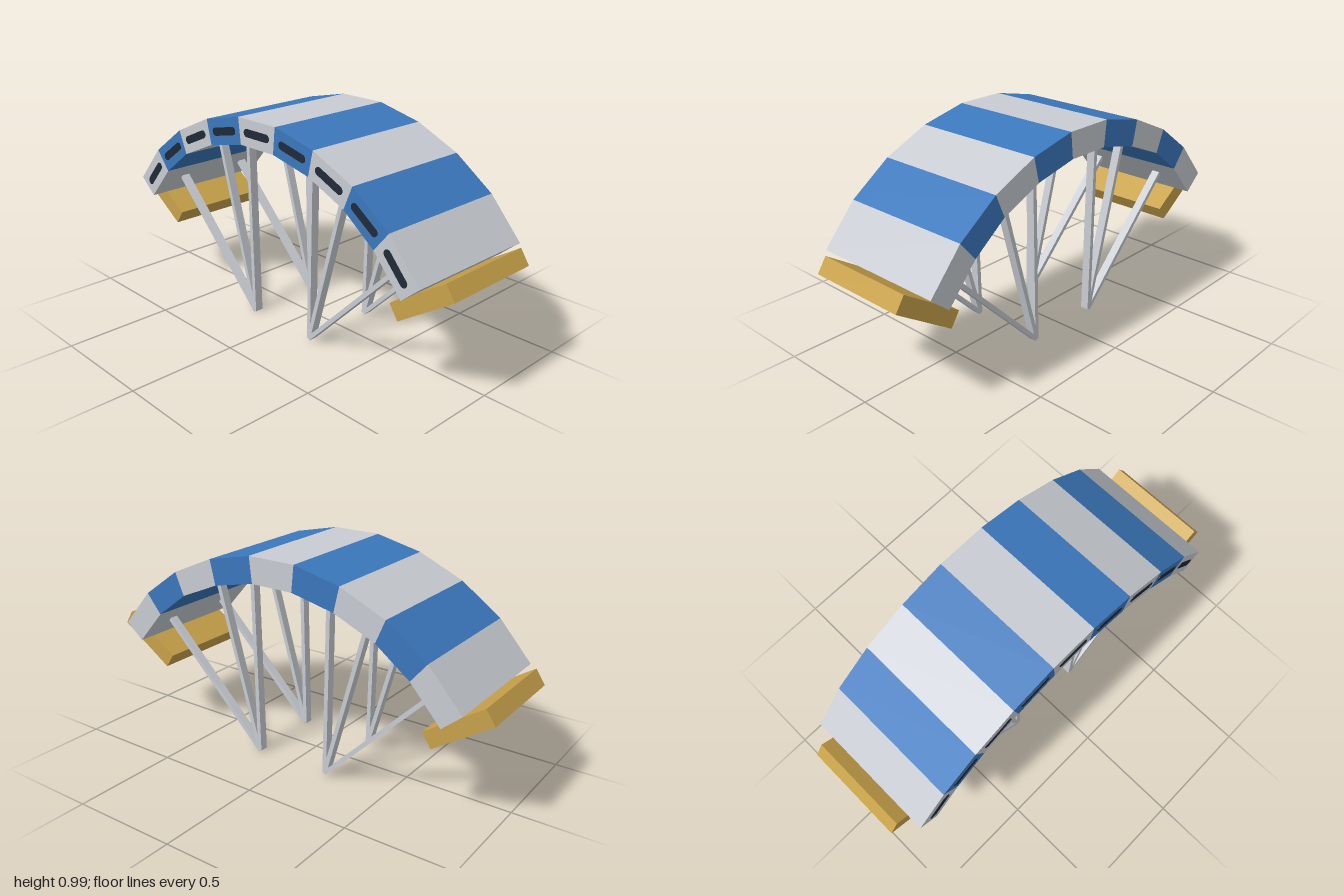
import * as THREE from 'three';

const paint = (name, color) => {
  const m = new THREE.MeshStandardMaterial({ color });
  m.name = name;
  return m;
};

export function createModel() {
  const model = new THREE.Group();
  model.name = 'archBridge';

  const grey = paint('light grey', 0xc8ccd2);
  const blue = paint('blue', 0x3b78bd);
  const wood = paint('ochre', 0xc8a24a);
  const dark = paint('dark slate', 0x1f2a38);

  const add = (name, geometry, material) => {
    const mesh = new THREE.Mesh(geometry, material);
    mesh.name = name;
    model.add(mesh);
    return mesh;
  };

  // Half arch, from the crown down to the end
  const outer = [[0.117, 0.995], [0.34, 0.945], [0.555, 0.85], [0.745, 0.715], [0.9, 0.54]];
  const inner = [[0.104, 0.875], [0.313, 0.83], [0.51, 0.745], [0.67, 0.625], [0.812, 0.465]];
  const mirrored = (pts) => [...pts.map(([x, y]) => [-x, y]).reverse(), ...pts];
  const top = mirrored(outer);
  const under = mirrored(inner);
  const halfDepth = 0.32;

  // Rounded slot outline, lying along x
  const slotLength = 0.16, slotRadius = 0.018;
  const reach = slotLength / 2 - slotRadius;
  const slotShape = new THREE.Shape();
  slotShape.absarc(reach, 0, slotRadius, -Math.PI / 2, Math.PI / 2, false);
  slotShape.absarc(-reach, 0, slotRadius, Math.PI / 2, Math.PI * 1.5, false);
  slotShape.closePath();
  const slotGeometry = new THREE.ExtrudeGeometry(slotShape, { depth: 0.004, bevelEnabled: false, curveSegments: 8 });

  // Arch segments in alternating colours, each with a slot on the front
  for (let i = 0; i < top.length - 1; i++) {
    const corners = [under[i], under[i + 1], top[i + 1], top[i]];
    const shape = new THREE.Shape(corners.map(([x, y]) => new THREE.Vector2(x, y)));
    const geometry = new THREE.ExtrudeGeometry(shape, { depth: halfDepth * 2, bevelEnabled: false });
    geometry.translate(0, 0, -halfDepth);
    add('archSegment', geometry, i % 2 ? blue : grey);

    const slot = add('slot', slotGeometry, dark);
    slot.position.set(
      corners.reduce((s, c) => s + c[0], 0) / 4,
      corners.reduce((s, c) => s + c[1], 0) / 4,
      halfDepth - 0.002
    );
    slot.rotation.z = Math.atan2(top[i + 1][1] - top[i][1], top[i + 1][0] - top[i][0]);
  }

  // Flat bar from one point to another in the xy plane
  const bar = (name, [x0, y0], [x1, y1], thickness, depth, z, material) => {
    const length = Math.hypot(x1 - x0, y1 - y0);
    const mesh = add(name, new THREE.BoxGeometry(length, thickness, depth), material);
    mesh.position.set((x0 + x1) / 2, (y0 + y1) / 2, z);
    mesh.rotation.z = Math.atan2(y1 - y0, x1 - x0);
  };

  const foot = [0.187, 0.008];
  const legTops = [[0.205, 0.857], [0.406, 0.795], [0.735, 0.558]];
  for (const side of [-1, 1]) {
    // Tilted end blocks
    bar('endBlock', [side * 0.978, 0.527], [side * 0.712, 0.352], 0.078, 0.48, 0, wood);
    // Fans of three struts, front and back
    for (const z of [-0.18, 0.18]) {
      for (const [x, y] of legTops) {
        bar('strut', [side * foot[0], foot[1]], [side * x, y], 0.02, 0.04, z, grey);
      }
    }
  }

  return model;
}
